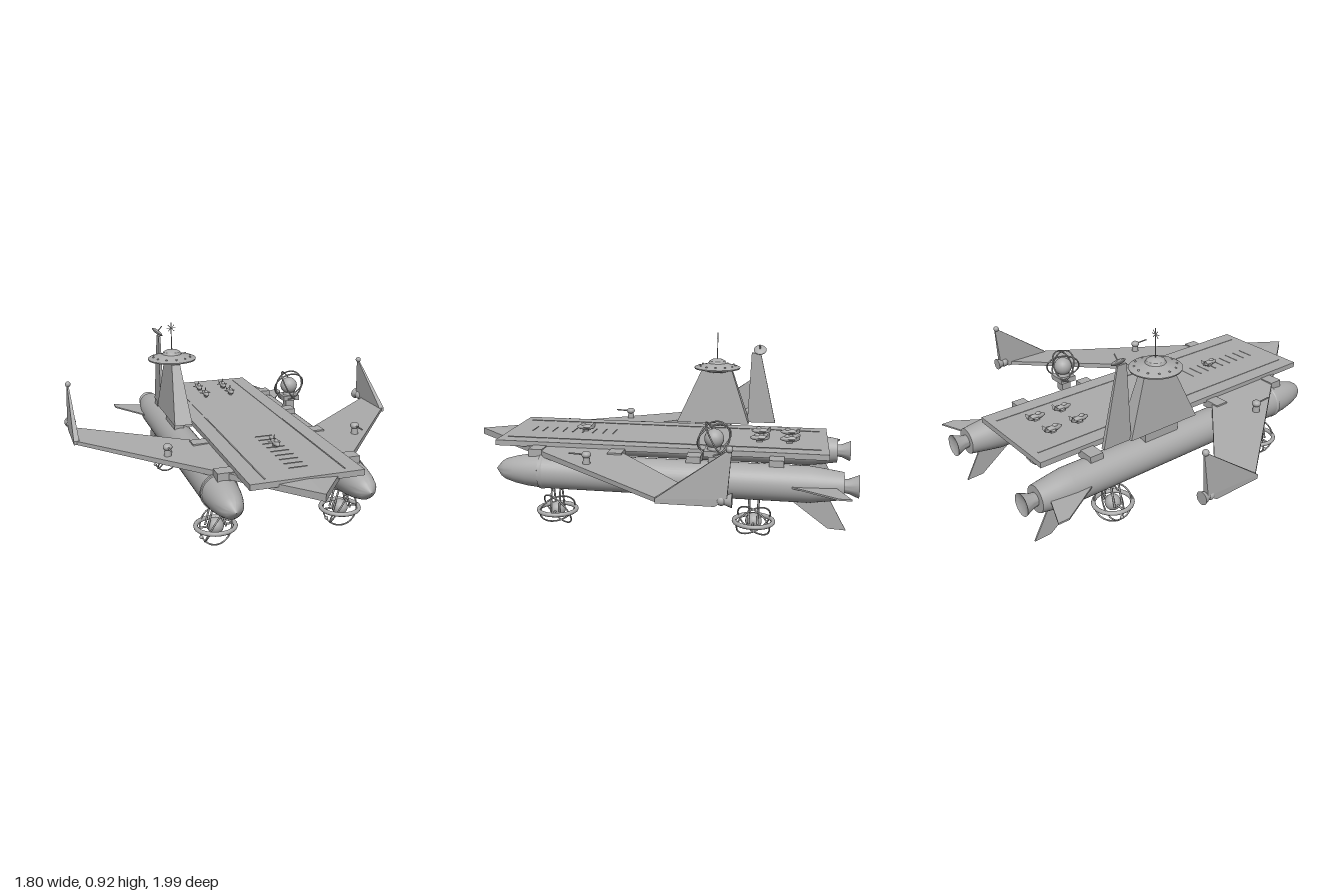
import * as THREE from 'three';
import { toCreasedNormals } from 'three/addons/utils/BufferGeometryUtils.js';
import { ConvexGeometry } from 'three/addons/geometries/ConvexGeometry.js';

const grey = new THREE.MeshStandardMaterial({ color: 0xacacac, side: THREE.DoubleSide });
grey.name = 'hull grey';

const V = (x, y, z) => new THREE.Vector3(x, y, z);

function add(parent, name, geometry, x = 0, y = 0, z = 0) {
  const mesh = new THREE.Mesh(geometry, grey);
  mesh.name = name;
  mesh.position.set(x, y, z);
  parent.add(mesh);
  return mesh;
}

function group(parent, name, x = 0, y = 0, z = 0) {
  const g = new THREE.Group();
  g.name = name;
  g.position.set(x, y, z);
  parent.add(g);
  return g;
}

const solid = (points) => new ConvexGeometry(points.map((p) => V(...p)));
const box = (w, h, d) => new THREE.BoxGeometry(w, h, d);
const ball = (r) => new THREE.SphereGeometry(r, 20, 14);

// Lathe turned about the y axis; profile is [radius, height] from the bottom up
function turned(profile, sides = 32) {
  const g = new THREE.LatheGeometry(profile.map((p) => new THREE.Vector2(...p)), sides);
  return toCreasedNormals(g, 0.5);
}

function rod(parent, name, a, b, r) {
  const dir = b.clone().sub(a);
  const m = add(parent, name, new THREE.CylinderGeometry(r, r, dir.length(), 8));
  m.position.copy(a).addScaledVector(dir, 0.5);
  m.quaternion.setFromUnitVectors(V(0, 1, 0), dir.normalize());
}

function ring(parent, name, radius, tube, normal) {
  const m = add(parent, name, new THREE.TorusGeometry(radius, tube, 8, 40));
  m.quaternion.setFromUnitVectors(V(0, 0, 1), normal.normalize());
}

// Upright plate in the yz plane
const platePoints = (pts, x, t) => pts.flatMap(([z, y]) => [[x - t, y, z], [x + t, y, z]]);

function landingGear(parent, x, z) {
  const g = group(parent, 'landingGear', x, 0.095, z);
  add(g, 'gearBall', ball(0.04));
  const flat = add(g, 'gearFlatRing', new THREE.TorusGeometry(0.094, 0.011, 10, 40));
  flat.rotation.x = Math.PI / 2;
  for (const s of [-1, 1]) {
    ring(g, 'gearTiltedRing', 0.091, 0.004, V(0.72, -0.48, s * 0.5));
    rod(g, 'gearAxle', V(0, 0, 0), V(s * 0.09, 0, 0), 0.005);
    for (const t of [-1, 1]) rod(g, 'gearStrut', V(s * 0.012, 0.13, t * 0.022), V(s * 0.045, 0, t * 0.022), 0.005);
  }
  add(g, 'gearBead', ball(0.009), -0.07, -0.05, 0);
}

function hull(parent, s) {
  const x = s * 0.322, y = 0.295;
  const body = add(parent, 'hullBody', turned([
    [0, -0.93], [0.066, -0.93], [0.079, -0.84], [0.088, -0.77], [0.088, 0.53],
    [0.091, 0.535], [0.091, 0.55], [0.086, 0.552], [0.08, 0.62], [0.069, 0.68],
    [0.053, 0.735], [0.038, 0.758], [0, 0.79],
  ], 40), x, y, 0);
  body.rotation.x = Math.PI / 2;
  const nozzle = add(parent, 'engineNozzle', turned([[0, -0.985], [0.045, -0.995], [0.055, -1], [0.036, -0.955], [0.03, -0.92]]), x, y, 0);
  nozzle.rotation.x = Math.PI / 2;
  // Tail fins: one outward, one downward
  const t = 0.004;
  add(parent, 'sideFin', solid([[0.33, -0.87], [0.545, -0.955], [0.545, -0.9], [0.41, -0.69], [0.33, -0.69]]
    .flatMap(([fx, fz]) => [[s * fx, 0.3 - t, fz], [s * fx, 0.3 + t, fz]])));
  add(parent, 'lowerFin', solid(platePoints([[-0.86, 0.24], [-0.865, 0.215], [-0.95, 0.076], [-0.865, 0.08], [-0.69, 0.21], [-0.69, 0.24]], x, t)));
  // Pylons joining hull and deck
  for (const z of [-0.615, -0.218, 0.17, 0.575]) add(parent, 'pylon', box(0.1, 0.04, 0.07), s * 0.3, 0.39, z);
  for (const z of [0.475, -0.513]) landingGear(parent, x, z);
}

function wing(parent, s) {
  // Section at each station: x, leading z, trailing z, top y, bottom y
  const stations = [[0, 0.99, 0.42, 0.42, 0.386], [0.88, -0.14, -0.38, 0.374, 0.355]];
  add(parent, 'wing', solid(stations.flatMap(([x, a, b, t, u]) =>
    [[s * x, t, a], [s * x, u, a], [s * x, t, b], [s * x, u, b]])));
  // Winglet with tip ball and small thruster
  add(parent, 'winglet', solid([
    ...platePoints([[-0.13, 0.355], [-0.13, 0.375], [-0.38, 0.355], [-0.43, 0.39]], s * 0.873, 0.014),
    ...platePoints([[-0.42, 0.585], [-0.445, 0.59]], s * 0.868, 0.004),
  ]));
  add(parent, 'wingletTipBall', ball(0.015), s * 0.867, 0.596, -0.435);
  add(parent, 'tipThrusterBall', ball(0.024), s * 0.868, 0.38, -0.405);
  const cone = add(parent, 'tipThruster', new THREE.CylinderGeometry(0.013, 0.031, 0.05, 20), s * 0.868, 0.38, -0.425);
  cone.rotation.x = Math.PI / 2;
  // Wing turret
  const turret = group(parent, 'wingTurret', s * 0.493, 0.395, 0.27);
  add(turret, 'turretBase', new THREE.CylinderGeometry(0.015, 0.02, 0.05, 16), 0, 0.01, 0);
  add(turret, 'turretBall', ball(0.023), 0, 0.042, 0).scale.y = 0.75;
  rod(turret, 'turretBarrel', V(0, 0.042, 0), V(0, 0.046, 0.085), 0.004);
}

function parkedCraft(parent, x, z) {
  const g = group(parent, 'parkedCraft', x, 0.449, z);
  const body = add(g, 'craftBody', ball(0.017));
  body.scale.set(0.9, 0.85, 2.9);
  add(g, 'craftCockpit', ball(0.01), 0, 0.012, 0.012).scale.z = 1.6;
  add(g, 'craftSkid', box(0.014, 0.016, 0.03), 0, -0.014, 0);
  for (const s of [-1, 1]) {
    add(g, 'craftWing', solid([[0, 0.002, 0.02], [0, -0.003, 0.02], [0, 0.002, -0.03], [0, -0.003, -0.03],
      [s * 0.031, 0, -0.005], [s * 0.031, 0, -0.022]]));
    add(g, 'craftTail', solid([[s * 0.006, 0, -0.025], [s * 0.01, 0, -0.025], [s * 0.008, 0, -0.05],
      [s * 0.014, 0.023, -0.052], [s * 0.016, 0.023, -0.045]]));
  }
}

function tower(parent) {
  const g = group(parent, 'controlTower', -0.333, 0, 0);
  add(g, 'towerFoot', box(0.05, 0.07, 0.2), 0, 0.4, -0.24);
  const rect = (w, y, a, b) => [[-w, y, a], [w, y, a], [-w, y, b], [w, y, b]];
  add(g, 'towerBody', solid([...rect(0.047, 0.43, -0.04, -0.44), ...rect(0.022, 0.72, -0.172, -0.342)]));
  add(g, 'towerSaucer', turned([
    [0, 0.712], [0.055, 0.715], [0.085, 0.726], [0.125, 0.732], [0.127, 0.739], [0.118, 0.744],
    [0.06, 0.757], [0.05, 0.762], [0.044, 0.774], [0.028, 0.783], [0, 0.787],
  ], 40), 0, 0, -0.258);
  for (let i = 0; i < 12; i++) {
    const a = i * Math.PI / 6;
    add(g, 'saucerLight', ball(0.005), Math.cos(a) * 0.1, 0.749, -0.258 + Math.sin(a) * 0.1);
  }
  // Mast with star-shaped aerial
  rod(g, 'mast', V(0, 0.78, -0.258), V(0, 0.93, -0.258), 0.0025);
  for (let i = 0; i < 4; i++) {
    const a = i * Math.PI / 4, c = Math.cos(a) * 0.024, d = Math.sin(a) * 0.024;
    rod(g, 'aerial', V(-c, 0.9 - d, -0.258), V(c, 0.9 + d, -0.258), 0.0015);
  }
  // Tall tail plate carrying the dish
  add(g, 'towerTail', solid([
    ...platePoints([[-0.43, 0.43], [-0.585, 0.43]], -0.022, 0.01),
    ...platePoints([[-0.445, 0.82], [-0.495, 0.82]], -0.022, 0.005),
  ]));
  const dish = add(g, 'dish', ball(0.035), -0.024, 0.837, -0.49);
  dish.scale.y = 0.3;
  dish.rotation.z = -0.7;
  rod(g, 'dishFeed', V(-0.024, 0.837, -0.49), V(0.003, 0.868, -0.49), 0.003);
}

function gyroSensor(parent) {
  const g = group(parent, 'gyroSensor', 0.366, 0.51, -0.32);
  add(g, 'sensorFoot', box(0.05, 0.07, 0.05), 0, -0.1, 0);
  add(g, 'sensorBase', box(0.095, 0.028, 0.09), 0, -0.066, 0);
  add(g, 'sensorNeck', new THREE.CylinderGeometry(0.025, 0.035, 0.04, 20), 0, -0.04, 0);
  add(g, 'sensorBall', ball(0.047));
  for (let i = 0; i < 3; i++) {
    const a = i * Math.PI * 2 / 3 + 0.5;
    ring(g, 'sensorRing', 0.085, 0.004, V(Math.cos(a) * 0.88, 0.48, Math.sin(a) * 0.88));
  }
}

export function createModel() {
  const model = new THREE.Group();
  model.name = 'flyingCarrier';

  // Flight deck and its markings
  add(model, 'deck', box(0.54, 0.028, 1.675), 0, 0.414, -0.025);
  for (const x of [-0.19, 0.19]) add(model, 'deckStripe', box(0.006, 0.003, 1.6), x, 0.429, -0.025);
  for (let i = 0; i < 9; i++) add(model, 'deckTick', box(0.09, 0.003, 0.005), 0, 0.429, 0.25 + i * 0.055);

  for (const s of [-1, 1]) {
    hull(model, s);
    wing(model, s);
    for (const z of [-0.67, -0.52]) parkedCraft(model, s * 0.075, z);
  }
  parkedCraft(model, 0, 0.41);
  tower(model);
  gyroSensor(model);
  return model;
}
